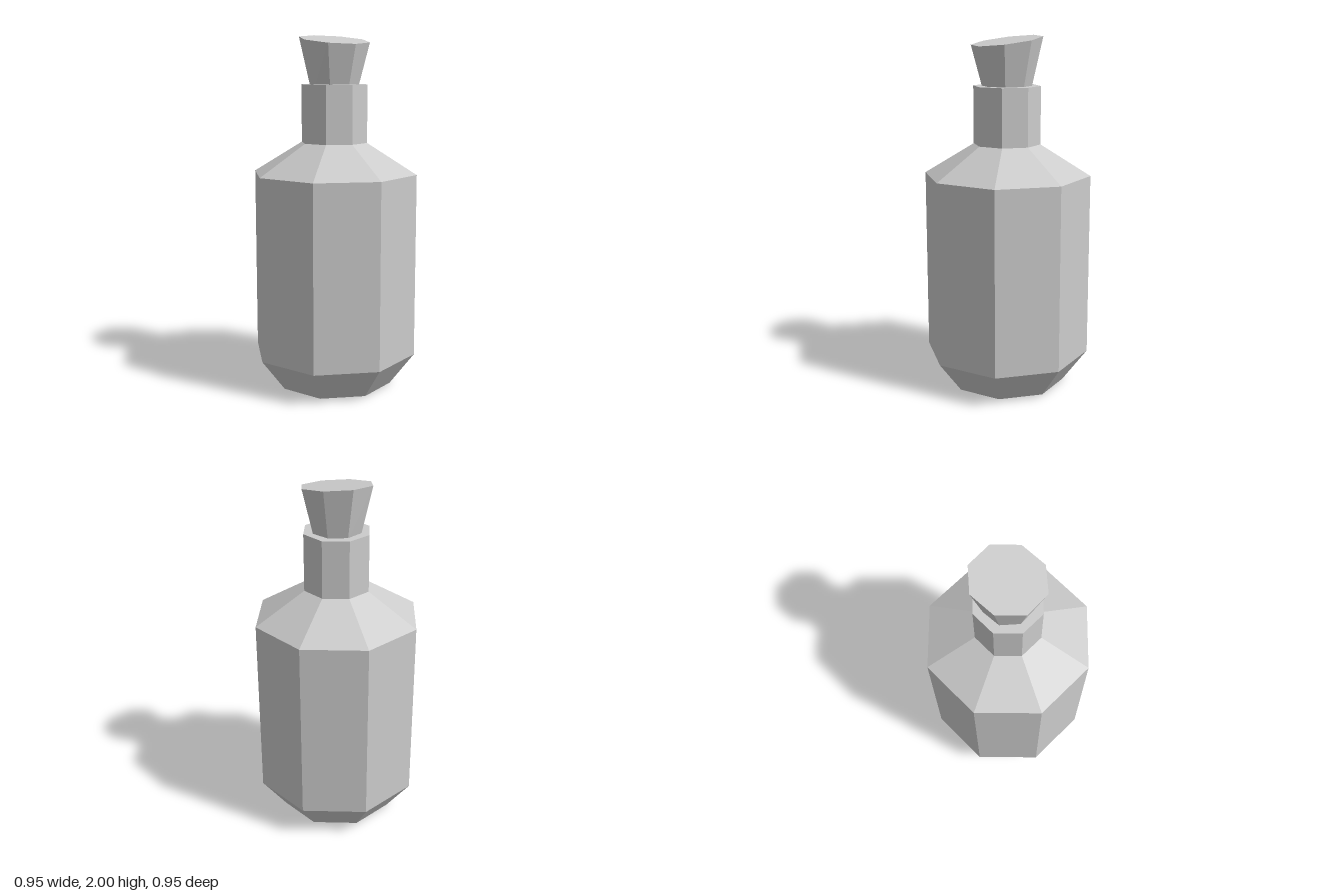
import * as THREE from 'three';

const SIDES = 8;

export function createModel() {
  const group = new THREE.Group();
  group.name = 'bottle';
  const material = new THREE.MeshStandardMaterial({ color: 0xcccccc, flatShading: true });

  const add = (name, geometry) => {
    const mesh = new THREE.Mesh(geometry, material);
    mesh.name = name;
    group.add(mesh);
    return mesh;
  };
  const lathe = (points) =>
    new THREE.LatheGeometry(points.map(([r, y]) => new THREE.Vector2(r, y)), SIDES);

  // Body: flat base, bevelled foot, straight wall and sloping shoulder
  add('body', lathe([[0, 0], [0.333, 0], [0.473, 0.185], [0.473, 1.227], [0.19, 1.4]]));

  // Neck with a flat rim
  add('neck', lathe([[0.19, 1.4], [0.19, 1.725], [0, 1.725]]));

  // Stopper: flared, slightly twisted, its top face slanting down to the front left
  const bottom = 1.7;
  const top = 1.971;
  const stopper = new THREE.CylinderGeometry(0.2, 0.134, top - bottom, SIDES);
  stopper.rotateY(THREE.MathUtils.degToRad(4.2));
  stopper.translate(0, (top + bottom) / 2, 0);
  const p = stopper.attributes.position;
  for (let i = 0; i < p.count; i++) {
    if (p.getY(i) > 1.85) p.setY(i, top - 0.095 * p.getX(i) - 0.108 * p.getZ(i));
  }
  stopper.computeVertexNormals();
  add('stopper', stopper);

  return group;
}
